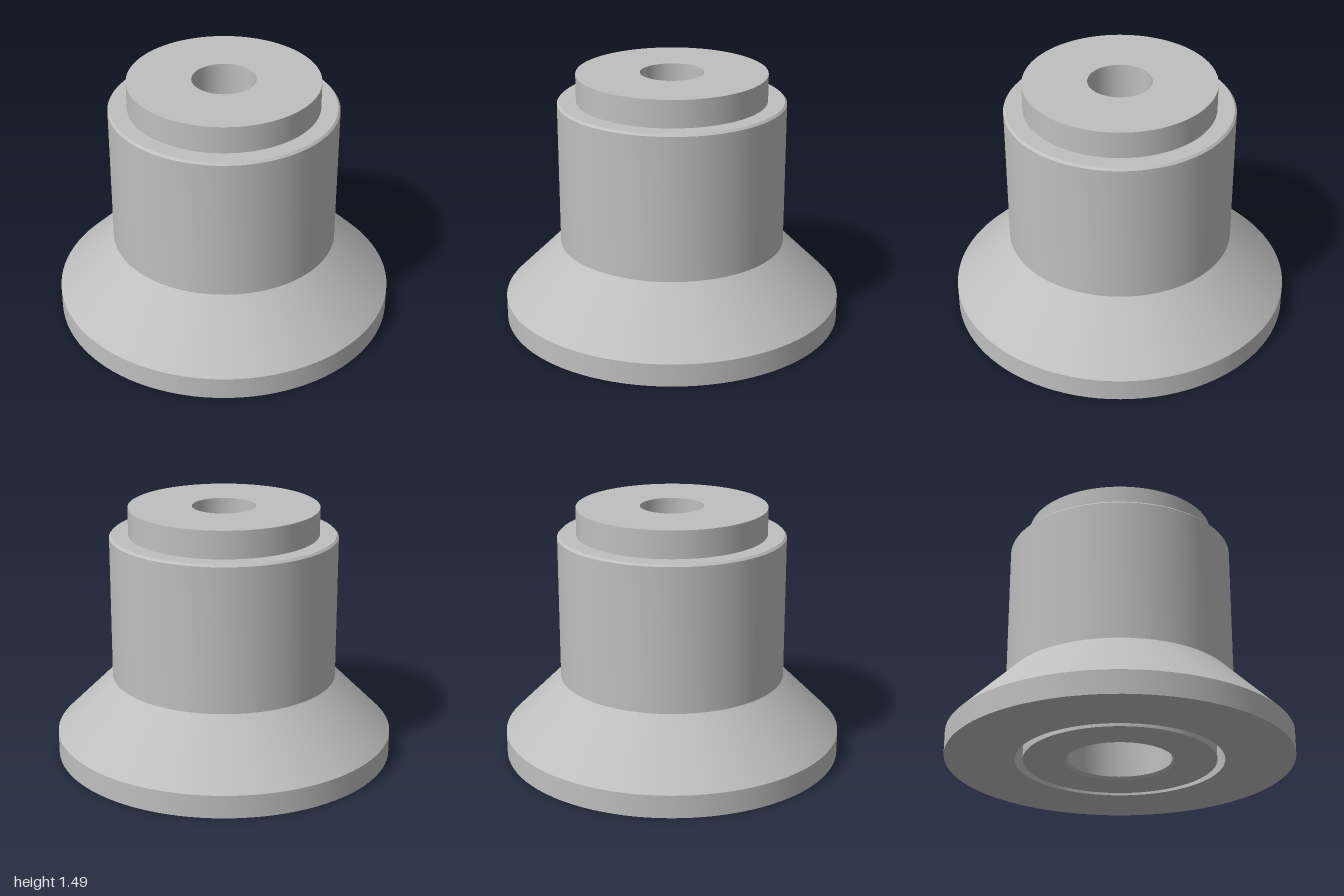
import * as THREE from 'three';
import { toCreasedNormals } from 'three/addons/utils/BufferGeometryUtils.js';

const SEGMENTS = 96;

// Revolve a profile (outer side runs upward) and keep its corners sharp
function turned(name, profile, material) {
  const points = profile.map(([r, y]) => new THREE.Vector2(r, y));
  const geometry = toCreasedNormals(new THREE.LatheGeometry(points, SEGMENTS), 0.4);
  const mesh = new THREE.Mesh(geometry, material);
  mesh.name = name;
  return mesh;
}

export function createModel() {
  const group = new THREE.Group();
  group.name = 'flangedBushing';
  const steel = new THREE.MeshStandardMaterial({ color: 0xbfbfbf });
  steel.name = 'grey steel';

  // Flanged housing: groove underneath, rim, cone, barrel, chamfered top
  group.add(turned('flangedHousing', [
    [0.555, 0.3], [0.6, 0.3], [0.6, 0],
    [1, 0], [1, 0.135], [0.665, 0.47],
    [0.665, 1.318], [0.653, 1.33], [0.555, 1.33],
  ], steel));

  // Inner sleeve: passes through the housing, with a stepped bore
  group.add(turned('innerSleeve', [
    [0.3, 0.015], [0.315, 0], [0.555, 0],
    [0.555, 1.49], [0.185, 1.49], [0.185, 0.95],
    [0.3, 0.95], [0.3, 0.015],
  ], steel));

  return group;
}
